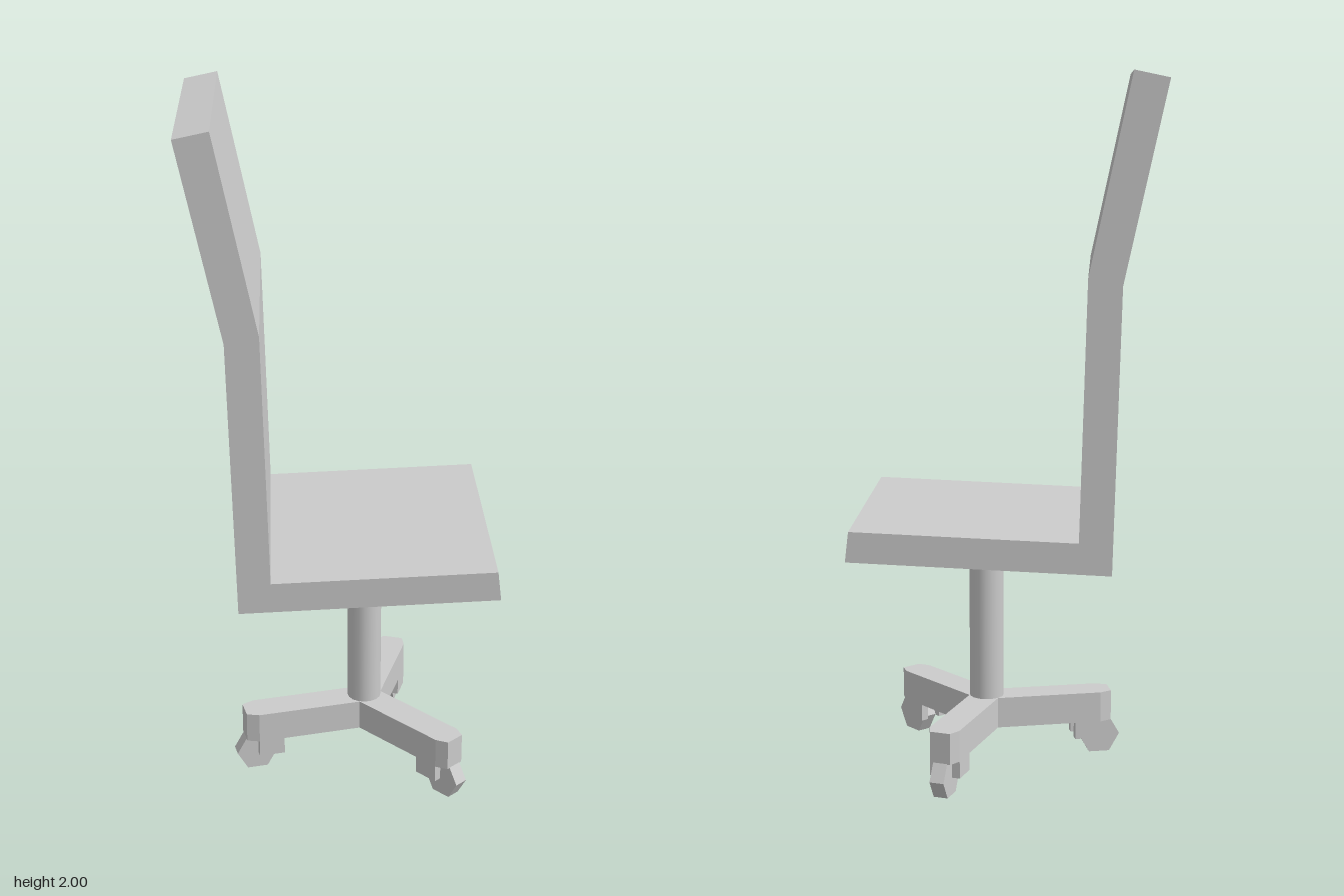
import * as THREE from 'three';

export function createModel() {
  const model = new THREE.Group();
  const flat = new THREE.MeshStandardMaterial({ color: 0xcccccc, flatShading: true });
  const smooth = new THREE.MeshStandardMaterial({ color: 0xcccccc });
  const hub = { x: 0.07, z: 0.02 };
  const legAngles = [167, 47, -73].map(THREE.MathUtils.degToRad);

  const add = (parent, name, geometry, material = flat) => {
    const mesh = new THREE.Mesh(geometry, material);
    mesh.name = name;
    parent.add(mesh);
    return mesh;
  };
  const extrude = (points, depth) => new THREE.ExtrudeGeometry(
    new THREE.Shape(points.map(([x, y]) => new THREE.Vector2(x, y))),
    { depth, bevelEnabled: false });

  // Seat and bent backrest: one side profile swept across the width
  const profile = [
    [-0.295, 0.655], [0.43, 0.685], [0.42, 0.77], [-0.205, 0.745],
    [-0.225, 1.46], [-0.34, 2.0], [-0.435, 1.98], [-0.317, 1.44],
  ];
  add(model, 'seatAndBackrest', extrude(profile, 0.76).translate(0, 0, -0.38));

  // Column from the base into the seat
  add(model, 'column', new THREE.CylinderGeometry(0.05, 0.05, 0.55, 16), smooth)
    .position.set(hub.x, 0.415, hub.z);

  // Three-armed base with tapered arm ends
  const half = 0.045;
  const arm = [[half / Math.tan(Math.PI / 3), -half], [0.335, -half],
    [0.37, -0.03], [0.37, 0.03], [0.335, half]];
  const outline = legAngles.slice().reverse().flatMap((a) => {
    const c = Math.cos(-a), s = Math.sin(-a);
    return arm.map(([u, v]) => [u * c - v * s, u * s + v * c]);
  });
  // Arms run in reverse order so the outline keeps one winding
  const ordered = legAngles.flatMap((_, i) => outline.slice((2 - i) * 5, (2 - i) * 5 + 5));
  add(model, 'base', extrude(ordered, 0.09).rotateX(-Math.PI / 2))
    .position.set(hub.x, 0.1, hub.z);

  // Casters: a hexagonal wheel between two fork prongs under each arm end
  for (const a of legAngles) {
    const caster = new THREE.Group();
    caster.name = 'caster';
    caster.position.set(hub.x, 0, hub.z);
    caster.rotation.y = -a;
    for (const side of [-1, 1]) {
      add(caster, 'forkProng', new THREE.BoxGeometry(0.076, 0.06, 0.023))
        .position.set(0.297, 0.08, side * 0.0335);
    }
    const wheel = new THREE.CylinderGeometry(0.061, 0.061, 0.042, 6)
      .rotateY(Math.PI / 6).rotateX(Math.PI / 2);
    add(caster, 'wheel', wheel).position.set(0.337, 0.053, 0);
    model.add(caster);
  }
  return model;
}
